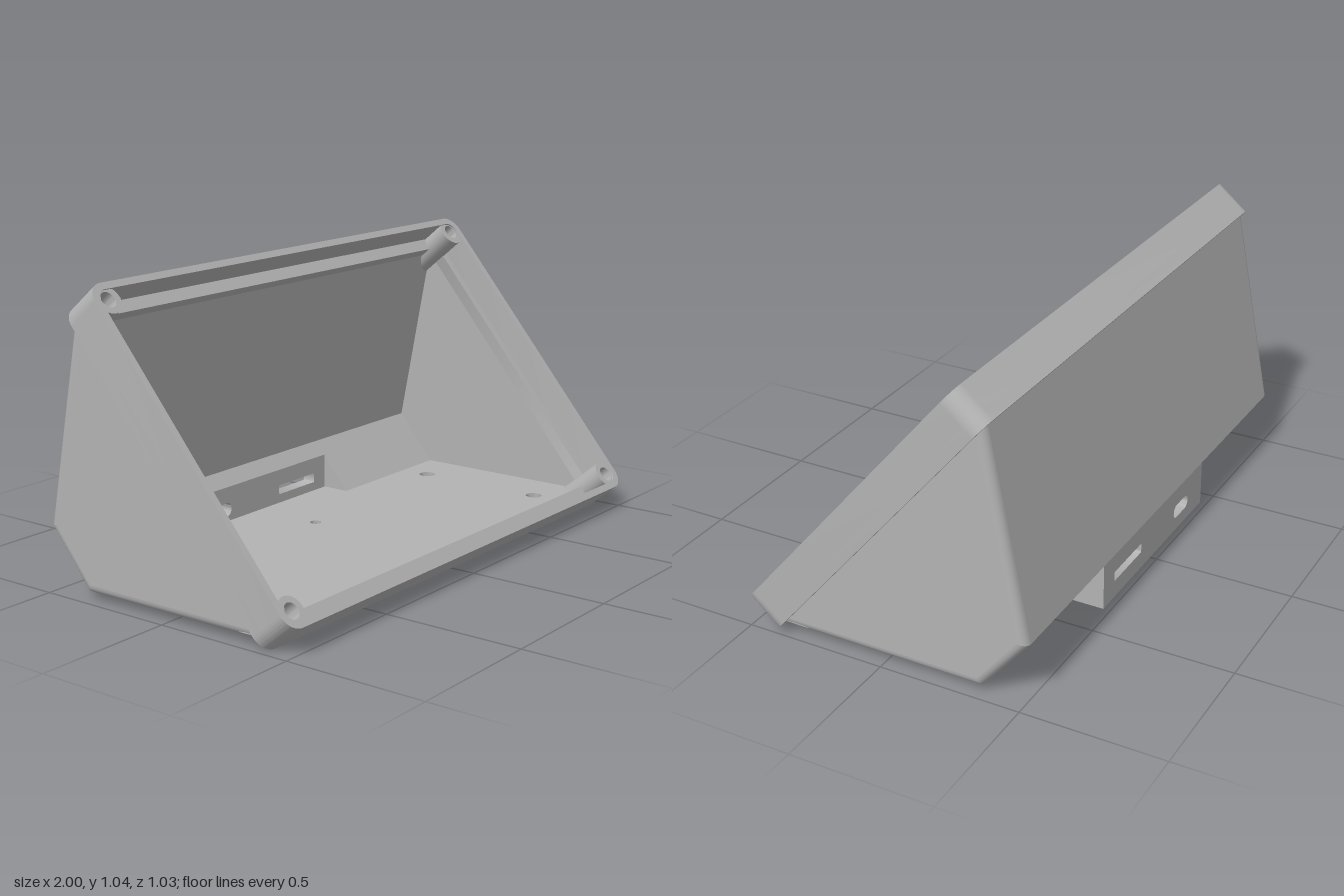
import * as THREE from 'three';
import { toCreasedNormals } from 'three/addons/utils/BufferGeometryUtils.js';

const TILT = THREE.MathUtils.degToRad(40);
const S = Math.sin(TILT), C = Math.cos(TILT);
const CZ = 0.1175, CY = 0.567;          // centre of the tilted front plane
const HALF_H = 0.62, DEPTH = 0.14;      // bezel half height and depth
const WALL = 0.03, HALF_W = 0.975;      // body wall and half width
const INNER_X = HALF_W - WALL;
const BAY_X = 0.4, BAY_IN = 0.385, BAY_Z = -0.49, BAY_WALL = 0.05;

const grey = new THREE.MeshStandardMaterial({ color: 0xb2b2b2, side: THREE.DoubleSide });
grey.name = 'plain grey plastic';

function add(parent, name, geometry) {
  const mesh = new THREE.Mesh(geometry, grey);
  mesh.name = name;
  parent.add(mesh);
  return mesh;
}

// Side-profile lines as n.p = c, with n pointing inwards; p is (z, y)
function lineThrough(a, b) {
  const d = new THREE.Vector2(b[0] - a[0], b[1] - a[1]).normalize();
  const n = [d.y, -d.x];
  return { n, c: n[0] * a[0] + n[1] * a[1] };
}
function meet(l, m) {
  const det = l.n[0] * m.n[1] - l.n[1] * m.n[0];
  return [(l.c * m.n[1] - m.c * l.n[1]) / det, (l.n[0] * m.c - m.n[0] * l.c) / det];
}
const inset = (l, d) => ({ n: l.n, c: l.c + d });
const floorLine = { n: [0, 1], c: 0.025 };
const slopeLine = lineThrough([-0.35, 0.025], [-0.512, 0.222]);
const backLine = lineThrough([-0.512, 0.222], [-0.372, 0.93]);
const jointLine = { n: [-C, -S], c: -C * CZ - S * CY + DEPTH };

// Open body profile: front bottom, floor/slope, slope/back, front top
function profile(d) {
  const [f, s, b] = [floorLine, slopeLine, backLine].map((l) => inset(l, d));
  return [meet(jointLine, f), meet(f, s), meet(s, b), meet(b, jointLine)];
}

// Extrude a (z, y) outline along x
function prism(points, x0, x1) {
  const shape = new THREE.Shape(points.map((p) => new THREE.Vector2(p[0], p[1])));
  return new THREE.ExtrudeGeometry(shape, { depth: x1 - x0, bevelEnabled: false })
    .rotateY(-Math.PI / 2).translate(x1, 0, 0);
}

// Rounded rectangle centred on cx, cy
function roundRect(Type, w, h, r, cx = 0, cy = 0) {
  const p = new Type();
  const x = w / 2 - r, y = h / 2 - r;
  p.absarc(cx + x, cy + y, r, 0, Math.PI / 2);
  p.absarc(cx - x, cy + y, r, Math.PI / 2, Math.PI);
  p.absarc(cx - x, cy - y, r, Math.PI, Math.PI * 1.5);
  p.absarc(cx + x, cy - y, r, Math.PI * 1.5, Math.PI * 2);
  p.closePath();
  return p;
}

const circle = (x, y, r) => new THREE.Path().absarc(x, y, r, 0, Math.PI * 2);

function extrude(shape, depth) {
  return new THREE.ExtrudeGeometry(shape, { depth, bevelEnabled: false, curveSegments: 10 });
}

function moveVertices(geometry, rule) {
  const p = geometry.attributes.position, v = new THREE.Vector3();
  for (let i = 0; i < p.count; i++) {
    v.fromBufferAttribute(p, i);
    rule(v);
    p.setXYZ(i, v.x, v.y, v.z);
  }
  geometry.computeVertexNormals();
  return geometry;
}

// Quarter-round edge joining a body panel to a side wall
function roundedEdge(k, side) {
  const steps = 6, pos = [], index = [];
  for (let i = 0; i <= steps; i++) {
    const a = (i / steps) * Math.PI / 2;
    const pts = profile(WALL * (1 - Math.cos(a)));
    const x = side * (INNER_X + WALL * Math.sin(a));
    for (const p of [pts[k], pts[k + 1]]) pos.push(x, p[1], p[0]);
    if (i < steps) {
      const j = i * 2;
      if (side > 0) index.push(j, j + 1, j + 2, j + 1, j + 3, j + 2);
      else index.push(j, j + 2, j + 1, j + 1, j + 2, j + 3);
    }
  }
  const g = new THREE.BufferGeometry();
  g.setAttribute('position', new THREE.Float32BufferAttribute(pos, 3));
  g.setIndex(index);
  g.computeVertexNormals();
  return g;
}

function buildBody() {
  const body = new THREE.Group();
  body.name = 'body';
  const out = profile(0), inn = profile(WALL);
  const slab = (k, x0, x1) => prism([out[k], out[k + 1], inn[k + 1], inn[k]], x0, x1);

  // Floor with screw holes and a tab under the connector bay; ends mitred
  const zf = out[0][0], zs = out[1][0];
  const floor = new THREE.Shape([
    [-INNER_X, -zf], [INNER_X, -zf], [INNER_X, -zs], [BAY_X, -zs],
    [BAY_X, -BAY_Z], [-BAY_X, -BAY_Z], [-BAY_X, -zs], [-INNER_X, -zs],
  ].map((p) => new THREE.Vector2(...p)));
  for (const x of [-0.765, 0.765]) {
    for (const z of [-0.225, 0.265]) floor.holes.push(circle(x, -z, 0.03));
  }
  floor.holes.push(circle(0, 0.18, 0.02));
  const floorGeo = extrude(floor, WALL).rotateX(-Math.PI / 2).translate(0, 0.025, 0);
  moveVertices(floorGeo, (v) => {
    if (v.y < 0.04) return;
    if (Math.abs(v.z - zf) < 1e-4) v.z = inn[0][0];
    if (Math.abs(v.z - zs) < 1e-4) v.z = inn[1][0];
  });
  add(body, 'floor', toCreasedNormals(floorGeo, 0.7));

  add(body, 'backWall', slab(2, -INNER_X, INNER_X));
  add(body, 'leftLowerSlope', slab(1, BAY_IN, INNER_X));
  add(body, 'rightLowerSlope', slab(1, -INNER_X, -BAY_IN));

  for (const [side, label] of [[1, 'left'], [-1, 'right']]) {
    const x = side > 0 ? INNER_X : -HALF_W;
    add(body, label + 'SideWall', prism(inn, x, x + WALL));
    for (let k = 0; k < 3; k++) add(body, label + 'RoundedEdge', roundedEdge(k, side));
  }

  // Connector bay
  const outerTop = meet(slopeLine, { n: [1, 0], c: BAY_Z });
  const innerTop = meet(inset(slopeLine, WALL), { n: [1, 0], c: BAY_Z + BAY_WALL });
  add(body, 'slopeAboveBay', prism([outerTop, out[2], inn[2], innerTop], -BAY_X, BAY_X));
  for (const [side, label] of [[1, 'left'], [-1, 'right']]) {
    const x = side > 0 ? BAY_IN : -BAY_X;
    add(body, label + 'BayCheek', prism([out[1], [BAY_Z, 0.025], outerTop], x, x + BAY_X - BAY_IN));
  }
  const wall = new THREE.Shape([
    [-BAY_X, 0.025], [BAY_X, 0.025], [BAY_X, outerTop[1]], [-BAY_X, outerTop[1]],
  ].map((p) => new THREE.Vector2(...p)));
  wall.holes.push(roundRect(THREE.Path, 0.21, 0.035, 0.006, 0.215, 0.105));
  wall.holes.push(roundRect(THREE.Path, 0.12, 0.05, 0.024, -0.22, 0.098));
  const wallGeo = moveVertices(extrude(wall, BAY_WALL).translate(0, 0, BAY_Z), (v) => {
    if (v.y > outerTop[1] - 1e-4 && v.z > BAY_Z + 0.01) v.y = innerTop[1];
  });
  add(body, 'connectorPanel', toCreasedNormals(wallGeo, 0.7));
  return body;
}

function buildBezel() {
  const bezel = new THREE.Group();
  bezel.name = 'bezel';
  bezel.position.set(0, CY, CZ);
  bezel.rotation.x = -TILT;

  // Thin raised rim, then a deeper ledge behind it
  const ledgeDepth = 0.097;
  const rim = roundRect(THREE.Shape, 2, HALF_H * 2, 0.06);
  rim.holes.push(roundRect(THREE.Path, 1.95, HALF_H * 2 - 0.05, 0.04));
  add(bezel, 'rim', toCreasedNormals(extrude(rim, ledgeDepth).translate(0, 0, -ledgeDepth), 0.7));

  const ledge = roundRect(THREE.Shape, 2, HALF_H * 2, 0.06);
  ledge.holes.push(roundRect(THREE.Path, INNER_X * 2, 1.1, 0.005));
  add(bezel, 'ledge', toCreasedNormals(extrude(ledge, DEPTH - ledgeDepth).translate(0, 0, -DEPTH), 0.7));

  // Corner screw posts, cut off where they run into the body walls
  for (const sx of [-1, 1]) {
    for (const sy of [-1, 1]) {
      const post = new THREE.Shape().absarc(sx * 0.94, sy * 0.56, 0.052, 0, Math.PI * 2);
      post.holes.push(circle(sx * 0.94, sy * 0.56, 0.029));
      const geo = moveVertices(extrude(post, 0.2).translate(0, 0, -0.205), (v) => {
        if (v.z < -0.1) v.z = -(DEPTH + (0.572 - Math.abs(v.y)) / 0.82);
        v.x = sx * Math.min(Math.abs(v.x), 0.972);
        v.y = sy * Math.min(Math.abs(v.y), 0.6);
      });
      add(bezel, 'screwPost', toCreasedNormals(geo, 0.7));
    }
  }
  return bezel;
}

export function createModel() {
  const model = new THREE.Group();
  model.name = 'slopedEnclosure';
  model.add(buildBody(), buildBezel());
  return model;
}
